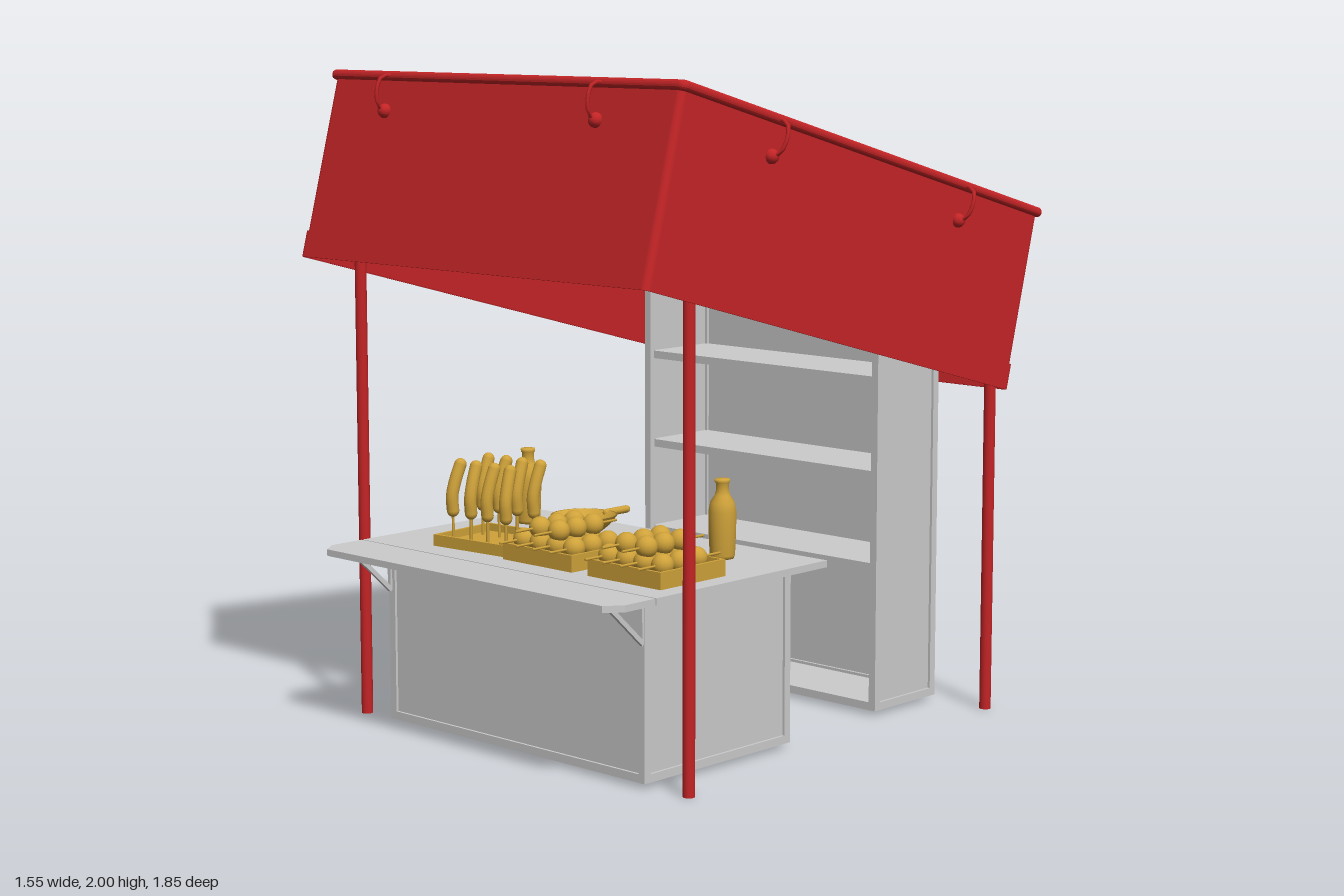
import * as THREE from 'three';

const grey = new THREE.MeshStandardMaterial({ color: 0xcccccc });
const red = new THREE.MeshStandardMaterial({ color: 0xc42426, side: THREE.DoubleSide });
const gold = new THREE.MeshStandardMaterial({ color: 0xcfa23a, side: THREE.DoubleSide });

function add(parent, name, geometry, material, x = 0, y = 0, z = 0) {
  const mesh = new THREE.Mesh(geometry, material);
  mesh.name = name;
  mesh.position.set(x, y, z);
  parent.add(mesh);
  return mesh;
}

function group(parent, name, x = 0, y = 0, z = 0) {
  const g = new THREE.Group();
  g.name = name;
  g.position.set(x, y, z);
  parent.add(g);
  return g;
}

// Box given by its min and max on each axis
function slab(parent, name, material, x0, x1, y0, y1, z0, z1) {
  return add(parent, name, new THREE.BoxGeometry(x1 - x0, y1 - y0, z1 - z0), material,
    (x0 + x1) / 2, (y0 + y1) / 2, (z0 + z1) / 2);
}

function roundedRect(w, d, r, Type = THREE.Shape) {
  const s = new Type();
  s.absarc(w - r, d - r, r, 0, Math.PI / 2);
  s.absarc(r - w, d - r, r, Math.PI / 2, Math.PI);
  s.absarc(r - w, r - d, r, Math.PI, Math.PI * 1.5);
  s.absarc(w - r, r - d, r, Math.PI * 1.5, Math.PI * 2);
  s.closePath();
  return s;
}

// Carcass of edge bars with recessed panels, one long side open, with shelves
function carcass(parent, name, w, h, d, openSide, shelves) {
  const g = group(parent, name);
  const t = 0.025, inset = 0.012, p = 0.008;
  for (const a of [-1, 1]) {
    for (const b of [-1, 1]) {
      add(g, 'post', new THREE.BoxGeometry(t, h, t), grey, a * (w - t) / 2, h / 2, b * (d - t) / 2);
      add(g, 'longRail', new THREE.BoxGeometry(w - 2 * t, t, t), grey, 0, h / 2 + a * (h - t) / 2, b * (d - t) / 2);
      add(g, 'sideRail', new THREE.BoxGeometry(t, t, d - 2 * t), grey, a * (w - t) / 2, h / 2 + b * (h - t) / 2, 0);
    }
    add(g, 'sidePanel', new THREE.BoxGeometry(p, h - t, d - t), grey, a * (w / 2 - inset), h / 2, 0);
    add(g, 'floorOrCeiling', new THREE.BoxGeometry(w - t, p, d - t), grey, 0, h / 2 + a * (h / 2 - inset), 0);
  }
  add(g, 'mainPanel', new THREE.BoxGeometry(w - t, h - t, p), grey, 0, h / 2, -openSide * (d / 2 - inset));
  for (const y of shelves) add(g, 'shelf', new THREE.BoxGeometry(w - t, 0.025, d - 0.035), grey, 0, y, 0);
  return g;
}

// Open tray with a floor and four walls
function tray(parent, name, w, d, h, x, y, z) {
  const g = group(parent, name, x, y, z);
  const t = 0.01;
  slab(g, 'trayFloor', gold, -w / 2, w / 2, 0, 0.012, -d / 2, d / 2);
  for (const s of [-1, 1]) {
    add(g, 'trayEnd', new THREE.BoxGeometry(w, h, t), gold, 0, h / 2, s * (d - t) / 2);
    add(g, 'traySide', new THREE.BoxGeometry(t, h, d - 2 * t), gold, s * (w - t) / 2, h / 2, 0);
  }
  return g;
}

const lathe = (pts, n = 20) => new THREE.LatheGeometry(pts.map(p => new THREE.Vector2(...p)), n);

function buildCanopy(root) {
  const canopy = group(root, 'canopy', 0, 1.77, -0.075);
  canopy.rotation.x = -Math.PI / 12;

  // Roof sheet with rolled edge
  const roof = new THREE.ExtrudeGeometry(roundedRect(0.721, 0.836, 0.008), {
    depth: 0.004, bevelThickness: 0.013, bevelSize: 0.014, bevelSegments: 4, curveSegments: 4 });
  add(canopy, 'roof', roof.rotateX(-Math.PI / 2), red, 0, -0.002, 0);

  // Hanging skirt and its hem
  const band = (name, w, d, h, y) => {
    const s = roundedRect(w, d, 0.02);
    s.holes.push(roundedRect(w - 0.008, d - 0.008, 0.012, THREE.Path));
    const geo = new THREE.ExtrudeGeometry(s, { depth: h, bevelEnabled: false, curveSegments: 4 });
    add(canopy, name, geo.rotateX(-Math.PI / 2), red, 0, y, 0);
  };
  band('skirt', 0.72, 0.838, 0.56, -0.56);
  band('hem', 0.724, 0.842, 0.08, -0.562);

  // Tie loops, two on each side
  const path = new THREE.CatmullRomCurve3([[0, 0], [0.035, -0.01], [0.046, -0.05], [0.03, -0.095], [0, -0.107]]
    .map(([o, y]) => new THREE.Vector3(0, y, o)));
  const loopGeo = new THREE.TubeGeometry(path, 7, 0.006, 6);
  const knotGeo = new THREE.SphereGeometry(0.022, 12, 8);
  for (let side = 0; side < 4; side++) {
    const across = side % 2 === 1;
    for (const s of [-0.44, 0.44]) {
      const sign = side < 2 ? 1 : -1;
      const g = across ? group(canopy, 'tieLoop', sign * 0.724, 0, s)
        : group(canopy, 'tieLoop', s - 0.02, 0, sign * 0.842);
      g.rotation.y = side * Math.PI / 2;
      add(g, 'cord', loopGeo, red);
      add(g, 'knot', knotGeo, red, 0, -0.107, 0);
    }
  }

  // Poles
  for (const x of [-0.688, 0.688]) {
    for (const [z, h] of [[0.675, 1.95], [-0.692, 1.58]]) {
      add(root, 'pole', new THREE.CylinderGeometry(0.018, 0.018, h, 12), red, x, h / 2, z);
    }
  }
}

function buildCounter(root) {
  const counter = group(root, 'counter');
  carcass(counter, 'counterBase', 1.085, 0.535, 0.625, -1, [0.27]).position.set(0.005, 0.015, 0.395);
  slab(counter, 'counterTop', grey, -0.615, 0.63, 0.549, 0.57, 0.015, 0.745);

  // Fold-out flap with clipped corners and struts
  const flap = new THREE.Shape([[-0.615, 0.75], [0.63, 0.75], [0.63, 0.87], [0.59, 0.92], [-0.575, 0.92], [-0.615, 0.87]]
    .map(p => new THREE.Vector2(...p)));
  const flapGeo = new THREE.ExtrudeGeometry(flap, { depth: 0.02, bevelEnabled: false }).rotateX(Math.PI / 2);
  add(counter, 'flap', flapGeo, grey, 0, 0.57, 0);
  for (const x of [-0.53, 0.54]) {
    const strut = add(counter, 'strut', new THREE.BoxGeometry(0.012, 0.014, 0.19), grey, x, 0.485, 0.778);
    strut.rotation.x = -Math.atan2(0.13, 0.14);
    slab(counter, 'strutPlate', grey, x - 0.006, x + 0.006, 0.42, 0.549, 0.705, 0.715);
  }
}

function buildGoods(root) {
  const goods = group(root, 'goods', 0, 0.57, 0);

  // Tray of curved sausages standing on sticks
  const rack = tray(goods, 'sausageTray', 0.29, 0.25, 0.035, -0.25, 0, 0.525);
  rack.rotation.y = 0.08;
  const bend = new THREE.CatmullRomCurve3([[0, 0.105, 0.012], [0, 0.15, 0.015], [0, 0.2, 0.002], [0, 0.245, -0.016]]
    .map(p => new THREE.Vector3(...p)));
  const sausageGeo = new THREE.TubeGeometry(bend, 10, 0.019, 12);
  const tipGeo = new THREE.SphereGeometry(0.019, 12, 8);
  for (let i = 0; i < 8; i++) {
    const s = group(rack, 'sausage', -0.105 + (i % 4) * 0.07, 0, i < 4 ? 0.065 : -0.065);
    s.rotation.y = ((i * 3) % 5 - 2) * 0.12;
    add(s, 'sausageBody', sausageGeo, gold);
    add(s, 'sausageEnd', tipGeo, gold, 0, 0.105, 0.012);
    add(s, 'sausageEnd', tipGeo, gold, 0, 0.245, -0.016);
    add(s, 'stick', new THREE.CylinderGeometry(0.005, 0.005, 0.1, 6), gold, 0, 0.055, 0.012);
  }

  // Trays of skewered balls, stacked in two layers
  const ballGeo = new THREE.SphereGeometry(0.033, 16, 10);
  const skewerGeo = new THREE.CylinderGeometry(0.004, 0.004, 0.34, 6).rotateX(Math.PI / 2);
  for (const cx of [0.065, 0.42]) {
    const t = tray(goods, 'ballTray', 0.29, 0.27, 0.05, cx, 0, 0.525);
    for (const [x, y] of [[-0.105, 0.06], [-0.035, 0.06], [0.035, 0.06], [0.105, 0.06], [-0.037, 0.103], [0.042, 0.103]]) {
      const k = group(t, 'skewer', x, y, 0.015);
      add(k, 'skewerStick', skewerGeo, gold);
      for (const z of [-0.07, 0, 0.07]) add(k, 'ball', ballGeo, gold, 0, 0, z);
    }
  }

  // Bottles
  const bottleGeo = lathe([[0, 0], [0.034, 0], [0.038, 0.01], [0.041, 0.08], [0.042, 0.14], [0.036, 0.17], [0.023, 0.19],
    [0.019, 0.205], [0.019, 0.225], [0.023, 0.228], [0.023, 0.238], [0, 0.24]]);
  for (const x of [-0.45, 0.38]) add(goods, 'bottle', bottleGeo, gold, x, 0, 0.2);

  // Pan with handle
  const pan = group(goods, 'pan', -0.21, 0, 0.19);
  add(pan, 'panBowl', lathe([[0, 0], [0.05, 0], [0.08, 0.025], [0.105, 0.055], [0.098, 0.055], [0.075, 0.03], [0.046, 0.008], [0, 0.008]], 24), gold);
  const handle = add(pan, 'panHandle', new THREE.CapsuleGeometry(0.012, 0.09, 4, 10), gold, 0, 0.047, -0.143);
  handle.rotation.x = Math.PI / 2;
}

export function createModel() {
  const root = new THREE.Group();
  root.name = 'marketStall';
  buildCanopy(root);
  buildCounter(root);

  // Rear shelving cabinet
  const cabinet = group(root, 'cabinet');
  carcass(cabinet, 'cabinetBody', 0.99, 1.305, 0.3, 1, [0.45, 0.74, 1.035]).position.set(0.005, 0.015, -0.525);
  slab(cabinet, 'cabinetTop', grey, -0.505, 0.515, 1.32, 1.34, -0.685, -0.365);

  buildGoods(root);
  return root;
}
